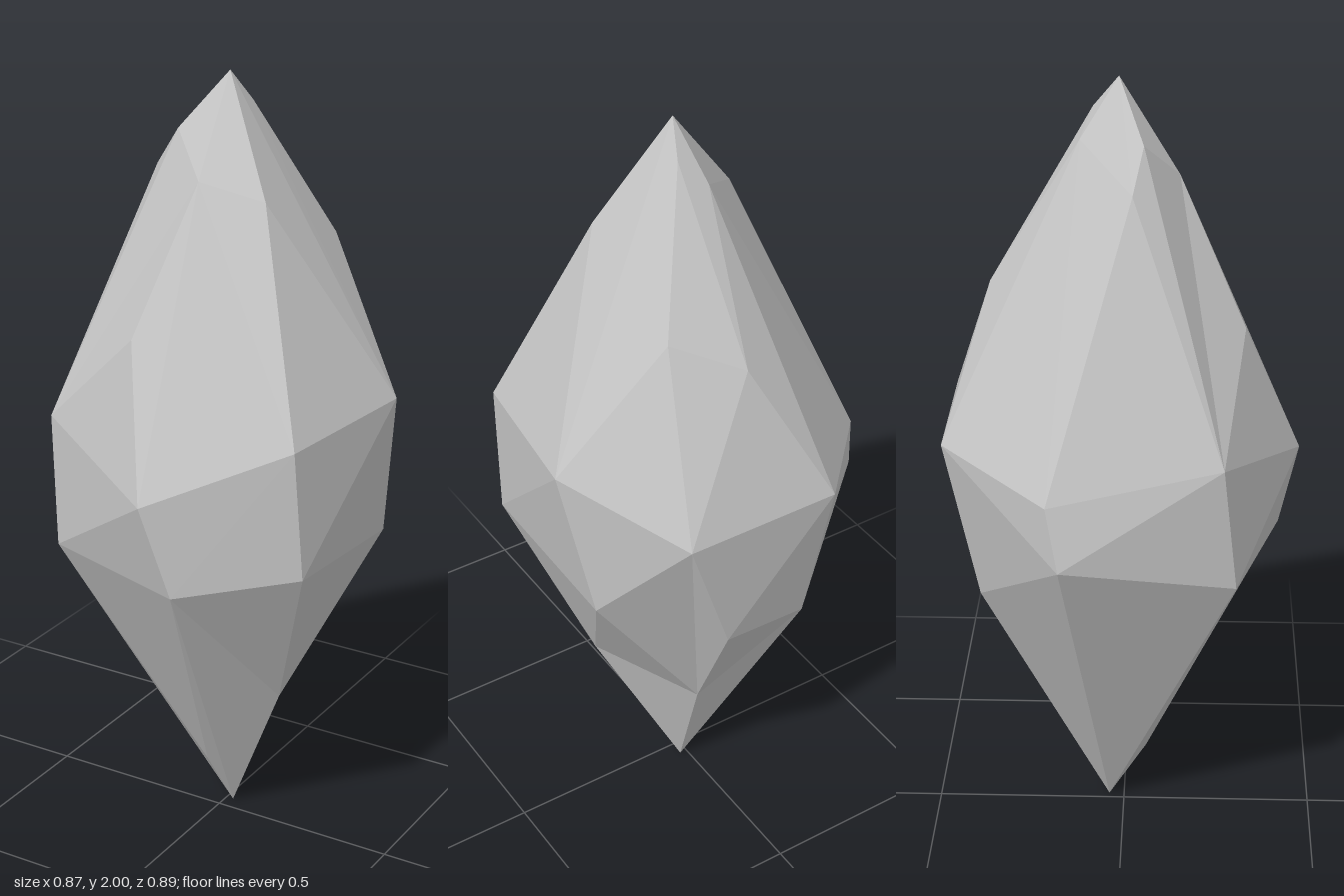
import * as THREE from 'three';
import { ConvexGeometry } from 'three/addons/geometries/ConvexGeometry.js';

const points = (rows) => rows.map(([x, y, z]) => new THREE.Vector3(x, y, z));

export function createModel() {
  const stone = new THREE.MeshStandardMaterial({ color: 0xc5c5c5 });
  stone.name = 'pale grey stone';

  // Pointed tip and the chipped corners just below it
  const tip = points([
    [0.023, 2, -0.012], [0.05, 1.92, -0.075], [-0.015, 1.855, -0.105],
    [-0.085, 1.86, 0.05], [-0.16, 1.76, 0.025],
    [0.18, 1.72, 0.09], [0.19, 1.57, -0.25], [0.023, 1.485, -0.33], [-0.065, 1.4, 0.3],
  ]);
  // Seven-sided upper and lower girdles
  const upperGirdle = points([
    [0.04, 1.04, 0.445], [0.37, 1.19, 0.28], [0.43, 1.21, -0.13], [0.25, 1.12, -0.445],
    [-0.16, 1.12, -0.445], [-0.41, 1.07, -0.175], [-0.34, 1.14, 0.25],
  ]);
  const lowerGirdle = points([
    [0.1, 0.8, 0.4], [0.38, 0.855, 0.25], [0.37, 0.82, -0.2], [0.12, 0.76, -0.41],
    [-0.14, 0.7, -0.36], [-0.435, 0.91, -0.145], [-0.305, 0.81, 0.285],
  ]);
  // Tapering foot
  const foot = points([[0, 0.17, 0.06], [-0.03, 0.13, 0], [0.02, 0, -0.04]]);

  // Sunken corners: pushed out to join the hull, then set back in place
  const pushed = points([[0.023, 1.79, 0.17], [0.29, 0.42, 0.05], [0.14, 0.38, -0.3]]);
  const sunken = points([[0.023, 1.76, 0.135], [0.22, 0.42, 0.07], [0.07, 0.38, -0.2]]);

  const geometry = new ConvexGeometry([...tip, ...upperGirdle, ...lowerGirdle, ...foot, ...pushed]);
  const pos = geometry.attributes.position;
  const v = new THREE.Vector3();
  for (let i = 0; i < pos.count; i++) {
    v.fromBufferAttribute(pos, i);
    const k = pushed.findIndex((p) => p.distanceTo(v) < 1e-4);
    if (k >= 0) pos.setXYZ(i, ...sunken[k]);
  }
  geometry.computeVertexNormals();

  const crystal = new THREE.Mesh(geometry, stone);
  crystal.name = 'crystal';
  const group = new THREE.Group();
  group.name = 'facetedStone';
  group.add(crystal);
  return group;
}
